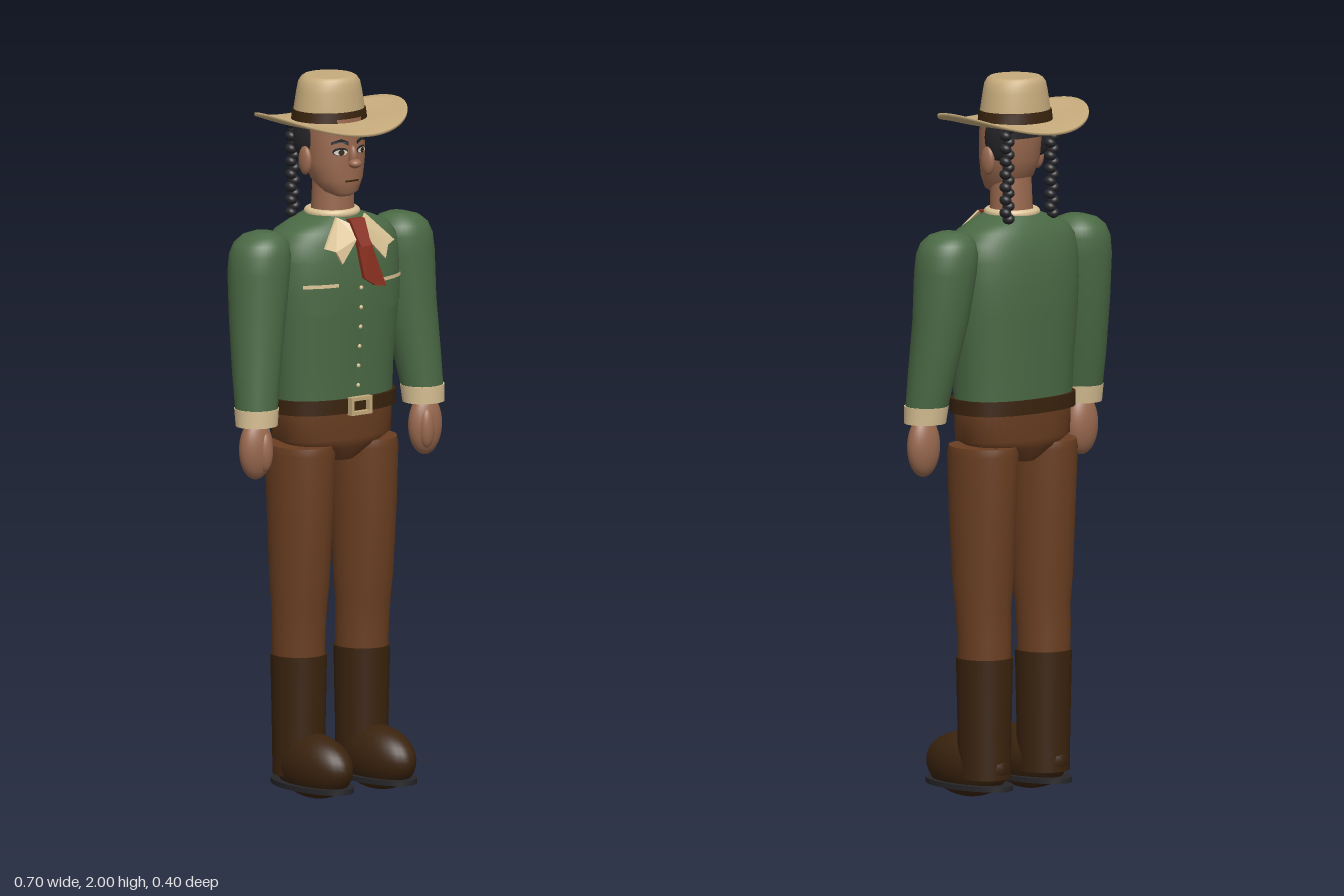
import * as THREE from 'three';

const mat = (name, color, side = THREE.FrontSide) => {
  const m = new THREE.MeshStandardMaterial({ color, side });
  m.name = name;
  return m;
};

// Stack of closed oval rings, rows listed bottom to top: [y, centreX, centreZ, radiusX, radiusZ]; n squares the oval
function loft(rows, n = 2, seg = 40) {
  const pos = [], idx = [];
  const ring = ([y, cx, cz, rx, rz]) => {
    for (let j = 0; j < seg; j++) {
      const a = (j / seg) * Math.PI * 2, c = Math.cos(a), s = Math.sin(a);
      pos.push(cx + rx * Math.sign(c) * Math.abs(c) ** (2 / n), y, cz + rz * Math.sign(s) * Math.abs(s) ** (2 / n));
    }
  };
  rows.forEach(ring);
  for (let i = 0; i < rows.length - 1; i++) for (let j = 0; j < seg; j++) {
    const k = (j + 1) % seg, a = i * seg, b = a + seg;
    idx.push(a + j, b + j, a + k, a + k, b + j, b + k);
  }
  // flat caps
  [rows[0], rows[rows.length - 1]].forEach((r, top) => {
    const base = pos.length / 3;
    ring(r);
    pos.push(r[1], r[0], r[2]);
    for (let j = 0; j < seg; j++) {
      const k = (j + 1) % seg;
      idx.push(base + seg, base + (top ? k : j), base + (top ? j : k));
    }
  });
  const g = new THREE.BufferGeometry();
  g.setAttribute('position', new THREE.Float32BufferAttribute(pos, 3));
  g.setIndex(idx);
  g.computeVertexNormals();
  return g;
}

// Front depth of a loft at (x, y)
function frontZ(rows, n, x, y) {
  let i = 0;
  while (i < rows.length - 2 && y > rows[i + 1][0]) i++;
  const t = THREE.MathUtils.clamp((y - rows[i][0]) / (rows[i + 1][0] - rows[i][0]), 0, 1);
  const [, cx, cz, rx, rz] = rows[i].map((v, k) => v + (rows[i + 1][k] - v) * t);
  return cz + rz * Math.max(0, 1 - Math.abs((x - cx) / rx) ** n) ** (1 / n);
}

// Lay a flat geometry onto the front of a loft
function drape(g, rows, n, off) {
  const p = g.attributes.position;
  for (let i = 0; i < p.count; i++) p.setZ(i, p.getZ(i) + off + frontZ(rows, n, p.getX(i), p.getY(i)));
  g.computeVertexNormals();
  return g;
}

const polygon = (pts) => new THREE.Shape(pts.map(([x, y]) => new THREE.Vector2(x, y)));
const slab = (pts, depth) => new THREE.ExtrudeGeometry(polygon(pts), { depth, bevelEnabled: false });

// Curled oval brim with a thin closed section
function brimGeometry() {
  const seg = 72, steps = 12, pos = [], idx = [], count = (steps + 1) * 2;
  for (let j = 0; j < seg; j++) {
    const a = (j / seg) * Math.PI * 2, c = Math.cos(a), s = Math.sin(a);
    for (let i = 0; i < count; i++) {
      const under = i > steps, t = (under ? count - 1 - i : i) / steps;
      const y = 1.882 - 0.018 * t + 0.052 * c * c * t * t - (under ? 0.008 : 0);
      pos.push(c * (0.085 + 0.138 * t), y, -0.015 + s * (0.075 + 0.113 * t));
    }
  }
  for (let j = 0; j < seg; j++) for (let i = 0; i < count; i++) {
    const a = j * count, b = ((j + 1) % seg) * count, k = (i + 1) % count;
    idx.push(a + i, b + i, a + k, a + k, b + i, b + k);
  }
  const g = new THREE.BufferGeometry();
  g.setAttribute('position', new THREE.Float32BufferAttribute(pos, 3));
  g.setIndex(idx);
  g.computeVertexNormals();
  return g;
}

export function createModel() {
  const model = new THREE.Group();
  const felt = mat('tan felt', 0xc6ab7c), cream = mat('cream cloth', 0xd9c194, THREE.DoubleSide);
  const green = mat('green shirt', 0x4b6a45), brown = mat('brown trousers', 0x6a3e21);
  const leather = mat('dark leather', 0x3a230e), skin = mat('skin', 0x99694f);
  const black = mat('black', 0x26262a), red = mat('red cloth', 0x8a3020, THREE.DoubleSide);
  const white = mat('eye white', 0xd8d4cc);

  const add = (name, geo, material, parent = model) => {
    const m = new THREE.Mesh(geo, material);
    m.name = name;
    parent.add(m);
    return m;
  };
  const ball = (name, material, p, r, parent = model) => {
    const m = add(name, new THREE.SphereGeometry(1, 28, 20), material, parent);
    m.position.set(...p);
    m.scale.set(...r);
    return m;
  };

  // Torso, hips and belt
  const torso = [
    [1.08, 0, -0.013, 0.183, 0.111], [1.2, 0, -0.014, 0.188, 0.115], [1.35, 0, -0.013, 0.2, 0.126],
    [1.43, 0, -0.013, 0.204, 0.127], [1.5, 0, -0.013, 0.203, 0.124], [1.55, 0, -0.012, 0.197, 0.114],
    [1.58, 0, -0.012, 0.175, 0.102], [1.602, 0, -0.012, 0.125, 0.088], [1.62, 0, -0.012, 0.075, 0.073],
  ];
  add('shirt', loft(torso, 2.4, 56), green);
  add('hips', loft([[0.935, 0, -0.012, 0.045, 0.07], [0.975, 0, -0.012, 0.13, 0.1],
    [1.0, 0, -0.012, 0.182, 0.108], [1.09, 0, -0.012, 0.184, 0.112]], 2.3), brown);
  add('belt', loft([[1.075, 0, -0.013, 0.193, 0.121], [1.115, 0, -0.013, 0.193, 0.121]], 2.4, 56), leather);
  const frame = polygon([[-0.036, 1.07], [0.036, 1.07], [0.036, 1.12], [-0.036, 1.12]]);
  frame.holes.push(polygon([[-0.026, 1.08], [-0.026, 1.11], [0.026, 1.11], [0.026, 1.08]]));
  add('buckle', new THREE.ExtrudeGeometry(frame, { depth: 0.018, bevelEnabled: false }), felt).position.z = 0.106;

  // Placket, buttons and pockets
  const placket = new THREE.PlaneGeometry(0.02, 0.36, 2, 24).translate(0, 1.29, 0);
  add('placket', drape(placket, torso, 2.4, 0.006), green);
  for (let i = 0; i < 6; i++) ball('button', cream, [0, 1.15 + i * 0.055, frontZ(torso, 2.4, 0, 1.15 + i * 0.055) + 0.007], [0.006, 0.006, 0.004]);
  for (const s of [-1, 1]) {
    const pocket = new THREE.PlaneGeometry(0.09, 0.085, 8, 6), p = pocket.attributes.position;
    for (let i = 0; i < p.count; i++) {
      const drop = 0.5 - p.getY(i) / 0.085;
      p.setY(i, p.getY(i) + drop * Math.abs(p.getX(i)) * 0.35);
    }
    pocket.translate(s * 0.123, 1.395, 0);
    add('pocket', drape(pocket, torso, 2.4, 0.007), green);
    const trim = new THREE.PlaneGeometry(0.094, 0.01, 8, 1).translate(s * 0.123, 1.439, 0);
    add('pocketTrim', drape(trim, torso, 2.4, 0.009), cream);
    // Neckerchief wings
    const wing = [[0.05, 1.62], [0.12, 1.545], [0.09, 1.535], [0.075, 1.5], [0.015, 1.565], [0.015, 1.6]];
    add('collarWing', drape(slab(wing.map(([x, y]) => [s * x, y]), 0.008), torso, 2.4, 0.02), cream);
  }
  const collar = add('collarBand', new THREE.TorusGeometry(0.066, 0.012, 10, 40).rotateX(Math.PI / 2), cream);
  collar.position.set(0, 1.622, -0.01);
  add('tieTail', drape(slab([[-0.022, 1.56], [0.022, 1.56], [0.07, 1.425], [0.03, 1.432], [-0.008, 1.455]], 0.012), torso, 2.4, 0.022), red);
  add('tieKnot', drape(slab([[-0.018, 1.545], [0.018, 1.545], [0.025, 1.615], [-0.025, 1.615]], 0.02), torso, 2.4, 0.02), red);

  // Limbs
  for (const s of [-1, 1]) {
    const limb = new THREE.Group();
    limb.name = s > 0 ? 'leftLimbs' : 'rightLimbs';
    model.add(limb);
    const part = (name, rows, m) => add(name, loft(rows.map(([y, x, ...r]) => [y, s * x, ...r])), m, limb);
    part('sleeve', [[1.09, 0.29, 0.024, 0.058, 0.057], [1.2, 0.28, 0.01, 0.066, 0.067], [1.35, 0.263, -0.007, 0.078, 0.078],
      [1.48, 0.252, -0.014, 0.087, 0.086], [1.53, 0.247, -0.015, 0.086, 0.085], [1.56, 0.243, -0.015, 0.076, 0.076],
      [1.58, 0.238, -0.015, 0.056, 0.058], [1.59, 0.235, -0.015, 0.025, 0.03]], green);
    part('cuff', [[1.06, 0.291, 0.026, 0.059, 0.056], [1.108, 0.289, 0.023, 0.062, 0.061]], cream);
    ball('hand', skin, [s * 0.295, 0.995, 0.028], [0.052, 0.085, 0.037], limb);
    ball('thumb', skin, [s * 0.282, 0.988, 0.052], [0.023, 0.055, 0.02], limb);
    part('trouserLeg', [[0.36, 0.11, -0.018, 0.071, 0.074], [0.45, 0.111, -0.018, 0.073, 0.076], [0.53, 0.111, -0.014, 0.076, 0.078],
      [0.6, 0.111, -0.013, 0.08, 0.088], [0.8, 0.111, -0.011, 0.086, 0.1], [0.96, 0.11, -0.012, 0.09, 0.108],
      [0.983, 0.11, -0.012, 0.086, 0.104]], brown);
    part('bootShaft', [[0.06, 0.11, -0.018, 0.07, 0.075], [0.2, 0.11, -0.018, 0.073, 0.076], [0.395, 0.11, -0.018, 0.077, 0.08]], leather);
    ball('bootFoot', leather, [s * 0.11, 0.091, 0.05], [0.076, 0.09, 0.147], limb);
    part('sole', [[0.03, 0.11, 0.043, 0.08, 0.155], [0.044, 0.11, 0.043, 0.08, 0.155]], black);
  }

  // Head and face
  const head = [[1.672, 0, 0.03, 0.028, 0.03], [1.685, 0, 0.024, 0.05, 0.052], [1.72, 0, 0.01, 0.073, 0.069],
    [1.77, 0, 0.0, 0.085, 0.079], [1.84, 0, -0.004, 0.088, 0.082], [1.89, 0, -0.006, 0.086, 0.08]];
  add('head', loft(head, 2.1), skin);
  add('neck', loft([[1.57, 0, -0.008, 0.063, 0.06], [1.72, 0, -0.006, 0.057, 0.055]]), skin);
  ball('noseBridge', skin, [0, 1.785, 0.082], [0.012, 0.032, 0.015]);
  ball('noseTip', skin, [0, 1.768, 0.093], [0.019, 0.013, 0.018]);
  const mouth = new THREE.PlaneGeometry(0.045, 0.005, 6, 1).translate(0, 1.718, 0);
  add('mouth', drape(mouth, head, 2.1, 0.003), leather);
  for (const s of [-1, 1]) {
    const disc = (name, rx, ry, x, y, off, m) => add(name,
      drape(new THREE.CircleGeometry(1, 20).scale(rx, ry, 1).translate(s * x, y, 0), head, 2.1, off), m);
    disc('eyeLine', 0.021, 0.011, 0.036, 1.802, 0.003, black);
    disc('eyeWhite', 0.018, 0.008, 0.036, 1.8, 0.005, white);
    disc('iris', 0.008, 0.008, 0.036, 1.8, 0.007, leather);
    const brow = polygon([[0.014, 1.818], [0.036, 1.828], [0.06, 1.822], [0.06, 1.829], [0.036, 1.838], [0.014, 1.829]].map(([x, y]) => [s * x, y]));
    add('eyebrow', drape(new THREE.ShapeGeometry(brow), head, 2.1, 0.005), black);
    ball('ear', skin, [s * 0.092, 1.772, -0.012], [0.014, 0.04, 0.024]);
    ball('sideHair', black, [s * 0.078, 1.835, -0.035], [0.018, 0.062, 0.048]);
    // Braid of alternating strands
    const braid = new THREE.Group();
    braid.name = 'braid';
    model.add(braid);
    for (let i = 0; i < 15; i++) {
      const y = 1.865 - i * 0.0178, side = i % 2 ? 1 : -1;
      ball('strand', black, [s * 0.083 + side * 0.006, y, -0.08], [0.016, 0.014, 0.018], braid).rotation.z = side * 0.5;
    }
  }
  // Hair wrapped round the back of the head
  const hair = [[1.835, 0, -0.032, 0.09, 0.06], [1.9, 0, -0.032, 0.09, 0.06]];
  add('backHair', loft(hair, 2.3), black);

  // Hat
  add('hatBrim', brimGeometry(), felt);
  add('hatCrown', loft([[1.872, 0, -0.023, 0.106, 0.094], [1.915, 0, -0.023, 0.101, 0.09], [1.96, 0, -0.023, 0.093, 0.085],
    [1.983, 0, -0.023, 0.087, 0.082], [1.995, 0, -0.023, 0.078, 0.076], [2.0, 0, -0.023, 0.069, 0.069]]), felt);
  add('hatBand', loft([[1.878, 0, -0.023, 0.109, 0.097], [1.908, 0, -0.023, 0.105, 0.094]]), leather);
  return model;
}
